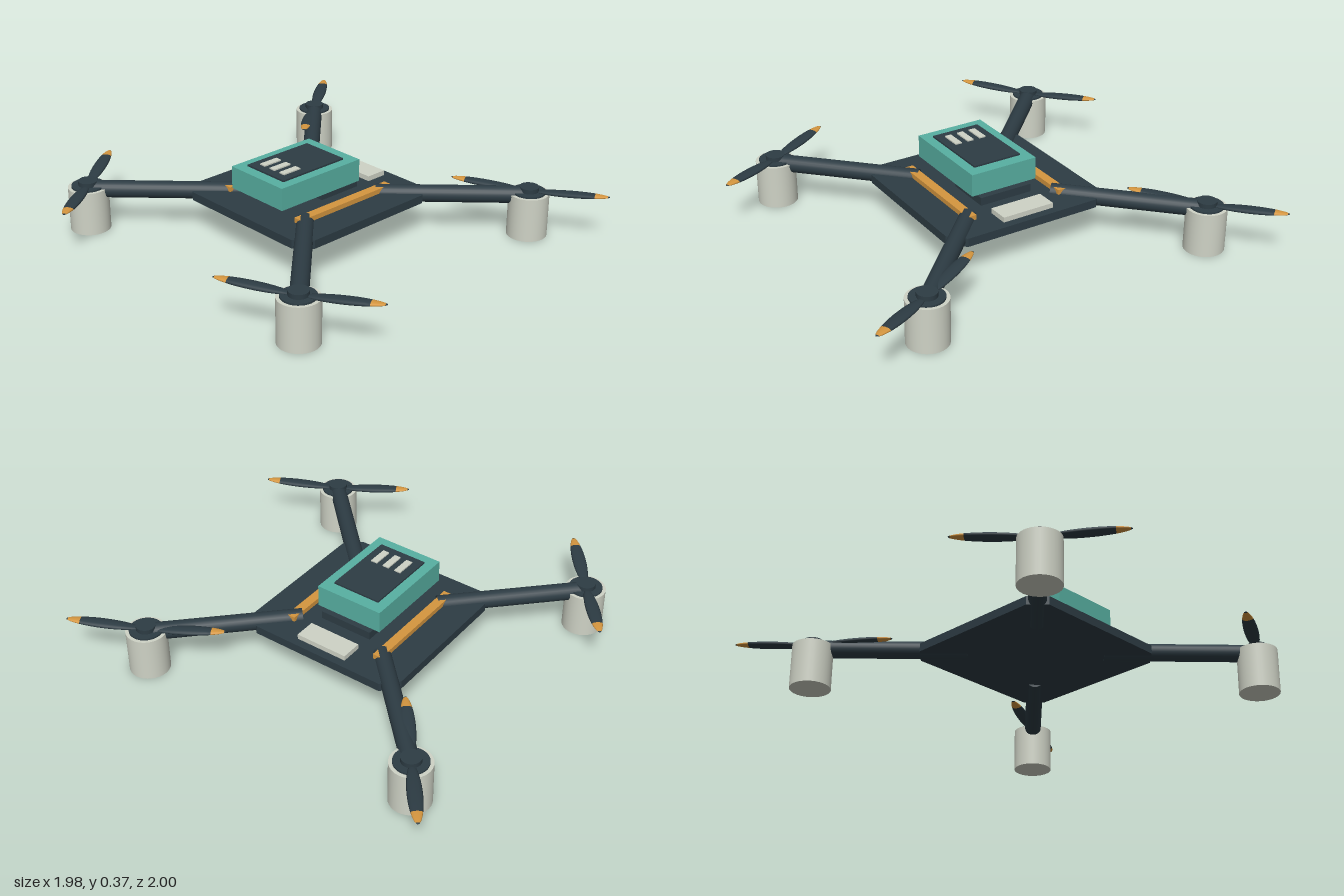
import * as THREE from 'three';

const mat = (name, color) => {
  const m = new THREE.MeshStandardMaterial({ color });
  m.name = name;
  return m;
};

export function createModel() {
  const dark = mat('dark slate', 0x2d3c44);
  const teal = mat('teal', 0x58b0a2);
  const orange = mat('orange', 0xd5963f);
  const light = mat('pale grey', 0xcfd3c6);

  const model = new THREE.Group();
  model.name = 'quadcopter';
  const CX = -0.05; // centre line of the frame

  const add = (parent, name, geo, material, x = 0, y = 0, z = 0) => {
    const mesh = new THREE.Mesh(geo, material);
    mesh.name = name;
    mesh.position.set(x, y, z);
    parent.add(mesh);
    return mesh;
  };
  // Box given by its extents
  const box = (name, material, x0, x1, y0, y1, z0, z1) =>
    add(model, name, new THREE.BoxGeometry(x1 - x0, y1 - y0, z1 - z0), material,
      (x0 + x1) / 2, (y0 + y1) / 2, (z0 + z1) / 2);

  // Body plate with cut corners
  const h = 0.405, c = 0.335;
  const outline = new THREE.Shape([
    [c, -h], [h, -c], [h, c], [c, h], [-c, h], [-h, c], [-h, -c], [-c, -h],
  ].map(([x, y]) => new THREE.Vector2(x, y)));
  const plate = new THREE.ExtrudeGeometry(outline, { depth: 0.04, bevelEnabled: false });
  plate.rotateX(-Math.PI / 2);
  add(model, 'bodyPlate', plate, dark, CX, 0.168, 0);

  // Parts on the plate
  for (const s of [-1, 1]) {
    const x = CX + s * 0.238;
    box(s > 0 ? 'leftRail' : 'rightRail', orange, x - 0.022, x + 0.022, 0.2, 0.231, -0.28, 0.28);
  }
  box('rearModule', light, -0.177, 0.08, 0.205, 0.232, -0.366, -0.265);
  box('controllerBlock', dark, -0.18, 0.083, 0.205, 0.246, -0.185, 0.035);

  // Battery with its label panel and bars
  box('battery', teal, -0.218, 0.117, 0.254, 0.36, -0.165, 0.307);
  box('batteryPanel', dark, -0.17, 0.07, 0.358, 0.368, -0.108, 0.255);
  for (let i = 0; i < 3; i++) {
    const x = -0.114 + i * 0.064;
    box('chargeBar', light, x - 0.016, x + 0.016, 0.367, 0.374, 0.118, 0.215);
  }

  // Blade section from radius r0 to r1: lens-shaped, rising towards the tip
  const R = 0.364, SIDES = 12;
  const bladePart = (r0, r1, rings) => {
    const pos = [], index = [];
    for (let i = 0; i <= rings; i++) {
      const r = r0 + (r1 - r0) * i / rings;
      const t = (r - 0.02) / (R - 0.02);
      const f = Math.pow(Math.max(0, 4 * t * (1 - t)), 0.55);
      for (let j = 0; j < SIDES; j++) {
        const a = j / SIDES * Math.PI * 2;
        pos.push(r, 0.019 * t + Math.sin(a) * 0.012 * f, Math.cos(a) * 0.032 * f);
        if (i < rings) {
          const p = i * SIDES + j, q = i * SIDES + (j + 1) % SIDES;
          index.push(p, p + SIDES, q, q, p + SIDES, q + SIDES);
        }
      }
    }
    const g = new THREE.BufferGeometry();
    g.setAttribute('position', new THREE.Float32BufferAttribute(pos, 3));
    g.setIndex(index);
    g.computeVertexNormals();
    return g;
  };
  const bladeGeo = bladePart(0.02, 0.298, 14);
  const tipGeo = bladePart(0.298, 0.356, 5);
  const endGeo = bladePart(0.356, R, 3);

  // Arm, motor and propeller at each corner
  const armLength = 0.495 * Math.SQRT2;
  for (const sx of [-1, 1]) for (const sz of [-1, 1]) {
    const corner = (sz > 0 ? 'front' : 'rear') + (sx > 0 ? 'Left' : 'Right');
    const arm = add(model, corner + 'Arm', new THREE.CylinderGeometry(0.04, 0.04, armLength, 24),
      dark, CX + sx * 0.4675, 0.196, sz * 0.4655);
    arm.quaternion.setFromUnitVectors(new THREE.Vector3(0, 1, 0),
      new THREE.Vector3(sx, 0, sz).normalize());

    const rotor = new THREE.Group();
    rotor.name = corner + 'Rotor';
    rotor.position.set(CX + sx * 0.715, 0, sz * 0.713);
    model.add(rotor);
    add(rotor, 'motorPod', new THREE.CylinderGeometry(0.093, 0.093, 0.208, 32), light, 0, 0.104, 0);
    add(rotor, 'motorCap', new THREE.CylinderGeometry(0.077, 0.077, 0.012, 32), dark, 0, 0.21, 0);
    add(rotor, 'hub', new THREE.CylinderGeometry(0.045, 0.045, 0.03, 24), dark, 0, 0.222, 0);

    const angle = sx < 0 ? -Math.atan2(0.784, 0.621) : Math.atan2(0.475, 0.88);
    for (const turn of [0, Math.PI]) {
      const blade = new THREE.Group();
      blade.name = 'blade';
      blade.position.y = 0.215;
      blade.rotation.y = angle + turn;
      add(blade, 'bladeBody', bladeGeo, dark);
      add(blade, 'bladeTip', tipGeo, orange);
      add(blade, 'bladeEnd', endGeo, dark);
      rotor.add(blade);
    }
  }
  return model;
}
